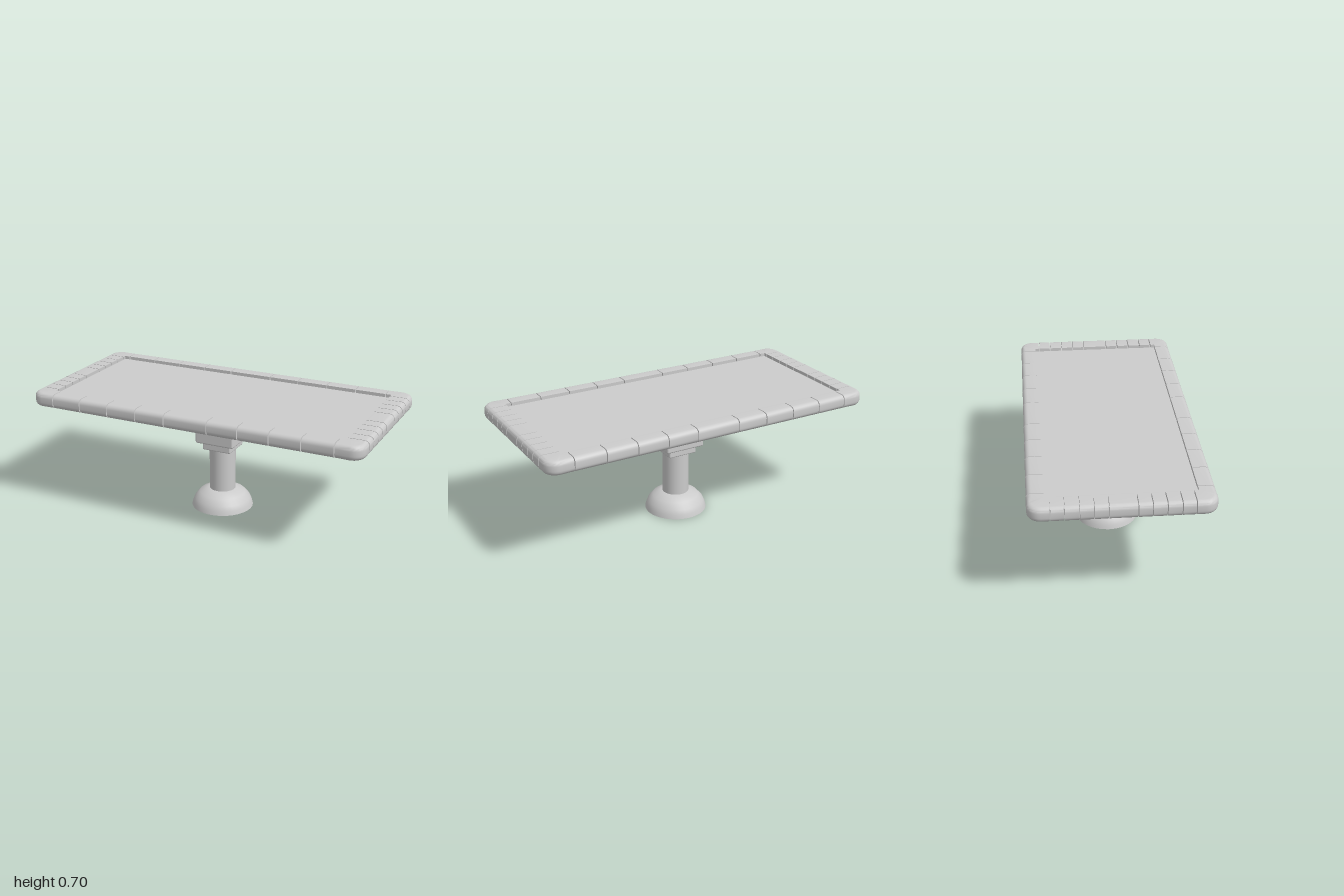
import * as THREE from 'three';
import { toCreasedNormals } from 'three/addons/utils/BufferGeometryUtils.js';
import { RoundedBoxGeometry } from 'three/addons/geometries/RoundedBoxGeometry.js';

const grey = new THREE.MeshStandardMaterial({ color: 0xcccccc });

// Outer and inner half sizes of the padded rim, and the half gap between pads
const OX = 1, OZ = 0.475, IX = 0.885, IZ = 0.385, GAP = 0.0025;

// Rim cross-section from the inner bottom outwards: [distance in from outer edge, y]
const rimProfile = [[null, 0.63], [0.035, 0.618]];
for (let i = 0; i <= 5; i++) {
  const a = (i / 5) * Math.PI / 2;
  rimProfile.push([0.028 * (1 - Math.sin(a)), 0.646 - 0.028 * Math.cos(a)]);
}
for (let i = 0; i <= 5; i++) {
  const a = (i / 5) * Math.PI / 2;
  rimProfile.push([0.028 * (1 - Math.cos(a)), 0.672 + 0.028 * Math.sin(a)]);
}
rimProfile.push([null, 0.699]);

// Solid pad lofted through stations [innerX, innerZ, outerX, outerZ]
function padGeometry(stations) {
  const n = rimProfile.length, pos = [], index = [];
  for (const [ix, iz, ox, oz] of stations) {
    const len = Math.hypot(ix - ox, iz - oz);
    for (const [d, y] of rimProfile) {
      const t = d === null ? 1 : d / len;
      pos.push(ox + (ix - ox) * t, y, oz + (iz - oz) * t);
    }
  }
  const last = (stations.length - 1) * n;
  for (let i = 0; i < last; i += n) {
    for (let j = 0; j < n; j++) {
      const k = (j + 1) % n;
      index.push(i + j, i + n + j, i + n + k, i + j, i + n + k, i + k);
    }
  }
  for (let j = 1; j < n - 1; j++) {
    index.push(0, j, j + 1, last, last + j + 1, last + j);
  }
  const g = new THREE.BufferGeometry();
  g.setAttribute('position', new THREE.Float32BufferAttribute(pos, 3));
  g.setIndex(index);
  return toCreasedNormals(g, 0.6);
}

function add(parent, name, geometry) {
  const mesh = new THREE.Mesh(geometry, grey);
  mesh.name = name;
  parent.add(mesh);
  return mesh;
}

function buildRim() {
  const rim = new THREE.Group();
  rim.name = 'paddedRim';
  const xBreaks = [-0.85, -0.67, -0.49, -0.31, -0.13, 0.13, 0.31, 0.49, 0.67, 0.85];
  const zBreaks = [0.36, 0.29, 0.216, 0.144, 0.072, -0.072, -0.144, -0.216, -0.29, -0.36];

  // Straight pads, each also turned half round for the opposite edge
  for (let i = 0; i < xBreaks.length - 1; i++) {
    const x0 = xBreaks[i] + GAP, x1 = xBreaks[i + 1] - GAP;
    const z0 = zBreaks[i] - GAP, z1 = zBreaks[i + 1] + GAP;
    const long = padGeometry([[x0, IZ, x0, OZ], [x1, IZ, x1, OZ]]);
    const short = padGeometry([[IX, z0, OX, z0], [IX, z1, OX, z1]]);
    for (const turn of [0, Math.PI]) {
      add(rim, 'longEdgePad', long).rotation.y = turn;
      add(rim, 'shortEdgePad', short).rotation.y = turn;
    }
  }

  // Rounded corner pads
  const corner = [[0.85 + GAP, IZ, 0.85 + GAP, OZ], [IX - 0.01, IZ, IX - 0.01, OZ]];
  const r = 0.07;
  for (let i = 0; i <= 8; i++) {
    const a = (i / 8) * Math.PI / 2;
    corner.push([IX, IZ, OX - r + r * Math.sin(a), OZ - r + r * Math.cos(a)]);
  }
  corner.push([IX, IZ - 0.01, OX, IZ - 0.01], [IX, 0.36 + GAP, OX, 0.36 + GAP]);
  for (const sx of [-1, 1]) {
    for (const sz of [-1, 1]) {
      const s = corner.map(([a, b, c, d]) => [a * sx, b * sz, c * sx, d * sz]);
      if (sx * sz < 0) s.reverse();
      add(rim, 'cornerPad', padGeometry(s));
    }
  }
  return rim;
}

// Flat board with rounded corners, recessed inside the rim
function boardGeometry(hx, hz, r, y0, y1) {
  const s = new THREE.Shape();
  s.absarc(hx - r, hz - r, r, 0, Math.PI / 2);
  s.absarc(-hx + r, hz - r, r, Math.PI / 2, Math.PI);
  s.absarc(-hx + r, -hz + r, r, Math.PI, Math.PI * 1.5);
  s.absarc(hx - r, -hz + r, r, Math.PI * 1.5, Math.PI * 2);
  const g = new THREE.ExtrudeGeometry(s, { depth: y1 - y0, bevelEnabled: false, curveSegments: 6 });
  return g.rotateX(-Math.PI / 2).translate(0, y0, 0);
}

// Side outline [distance from axis, y] given a thickness
function plate(points, thickness, bevel) {
  const shape = new THREE.Shape(points.map(([x, y]) => new THREE.Vector2(x, y)));
  const g = new THREE.ExtrudeGeometry(shape, {
    depth: thickness - 2 * bevel, bevelEnabled: bevel > 0,
    bevelThickness: bevel, bevelSize: bevel, bevelOffset: -bevel, bevelSegments: 1,
  });
  return g.translate(0, 0, -thickness / 2 + bevel);
}

function box(w, h, y, r) {
  return new RoundedBoxGeometry(w, h, w, 2, r).translate(0, y + h / 2, 0);
}

function buildBracket() {
  const bracket = new THREE.Group();
  bracket.name = 'bracket';
  add(bracket, 'collar', box(0.178, 0.06, 0.363, 0.008));
  add(bracket, 'block', box(0.24, 0.115, 0.41, 0.01));

  // Tapered neck between the block and the board
  const neck = new THREE.CylinderGeometry(0.085 * Math.SQRT2, 0.116 * Math.SQRT2, 0.11, 4, 1)
    .rotateY(Math.PI / 4).translate(0, 0.57, 0);
  add(bracket, 'neck', toCreasedNormals(neck, 0.3));

  // Clawed arm of a given reach
  const arm = (reach) => plate([
    [0.05, 0.623], [0.05, 0.52], [0.115, 0.525], [0.16, 0.556], [reach - 0.095, 0.578],
    [reach - 0.085, 0.557], [reach - 0.055, 0.557], [reach - 0.025, 0.567],
    [reach - 0.006, 0.585], [reach, 0.6], [reach, 0.623],
  ], 0.076, 0.004);
  const fin = plate([[0.08, 0.623], [0.08, 0.505], [0.155, 0.505], [0.185, 0.548], [0.265, 0.618], [0.265, 0.623]], 0.022, 0);
  for (let i = 0; i < 4; i++) {
    add(bracket, 'clawArm', arm(i % 2 ? 0.31 : 0.37)).rotation.y = i * Math.PI / 2;
    add(bracket, 'cornerFin', fin).rotation.y = (i + 0.5) * Math.PI / 2;
  }
  return bracket;
}

export function createModel() {
  const table = new THREE.Group();
  table.name = 'pedestalTable';

  // Domed foot
  const dome = [[0, 0], [0.182, 0], [0.176, 0.024], [0.165, 0.05], [0.135, 0.085], [0.085, 0.108], [0.04, 0.112], [0, 0.113]]
    .map(([x, y]) => new THREE.Vector2(x, y));
  add(table, 'foot', toCreasedNormals(new THREE.LatheGeometry(dome, 32), 0.7));

  // Column
  add(table, 'column', new THREE.CylinderGeometry(0.077, 0.077, 0.28, 32).translate(0, 0.235, 0));

  table.add(buildBracket());
  add(table, 'board', boardGeometry(0.97, 0.445, 0.05, 0.622, 0.68));
  table.add(buildRim());
  return table;
}
